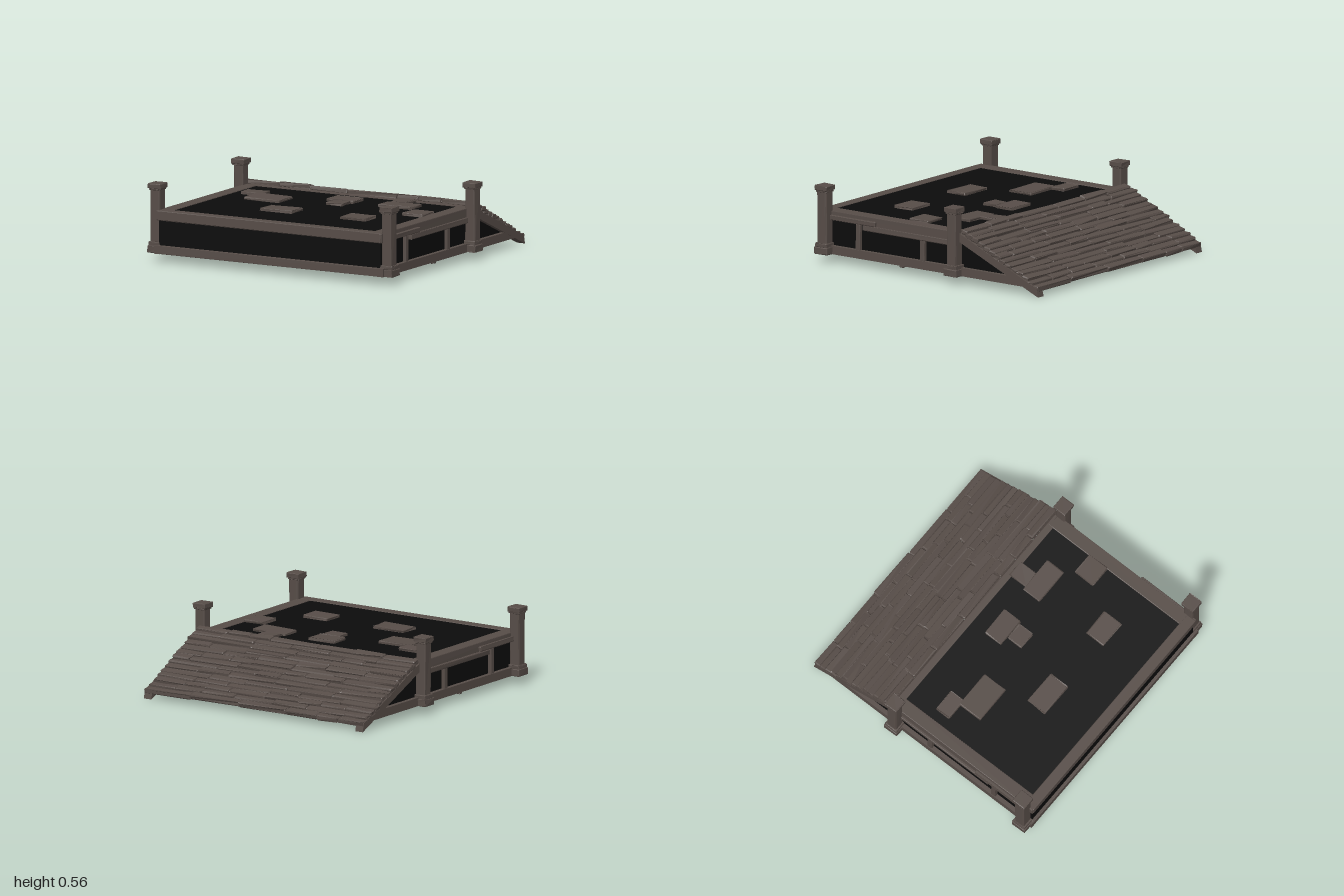
import * as THREE from 'three';
import { RoundedBoxGeometry } from 'three/addons/geometries/RoundedBoxGeometry.js';

const stone = new THREE.MeshStandardMaterial({ color: 0x574d48, flatShading: true });
stone.name = 'brownStone';
const dark = new THREE.MeshStandardMaterial({ color: 0x0c0c0c, side: THREE.DoubleSide });
dark.name = 'darkFill';

// Small seeded generator for uneven stonework
let seed = 7;
const rand = () => (seed = (seed * 16807) % 2147483647) / 2147483647;
const vary = (a) => (rand() * 2 - 1) * a;

// Chamfered block; coincident vertices are displaced together
function block(parent, name, size, pos, wobble = 0.002, bevel = 0.005) {
  const geo = new RoundedBoxGeometry(...size, 1, Math.min(bevel, Math.min(...size) * 0.3));
  const p = geo.attributes.position;
  const moved = new Map();
  for (let i = 0; i < p.count; i++) {
    const v = [p.getX(i), p.getY(i), p.getZ(i)];
    const key = v.map((n) => Math.round(n * 1e4)).join();
    if (!moved.has(key)) moved.set(key, v.map((n) => n + vary(wobble)));
    p.setXYZ(i, ...moved.get(key));
  }
  geo.computeVertexNormals();
  const mesh = new THREE.Mesh(geo, stone);
  mesh.name = name;
  mesh.position.set(...pos);
  parent.add(mesh);
  return mesh;
}

// Block given by its limits on each axis
function span(parent, name, [x0, x1], [y0, y1], [z0, z1], wobble) {
  return block(parent, name, [x1 - x0, y1 - y0, z1 - z0],
    [(x0 + x1) / 2, (y0 + y1) / 2, (z0 + z1) / 2], wobble);
}

// Side profile drawn as (z, y) points, extruded across x
function profile(parent, name, points, width, x, material) {
  const shape = new THREE.Shape(points.map(([z, y]) => new THREE.Vector2(z, y)));
  const geo = new THREE.ExtrudeGeometry(shape, { depth: width, bevelEnabled: false });
  geo.translate(0, 0, -width / 2).rotateY(-Math.PI / 2);
  const mesh = new THREE.Mesh(geo, material);
  mesh.name = name;
  mesh.position.x = x;
  parent.add(mesh);
}

function thinPanel(parent, name, size, pos) {
  const mesh = new THREE.Mesh(new THREE.BoxGeometry(...size), dark);
  mesh.name = name;
  mesh.position.set(...pos);
  parent.add(mesh);
}

function pillar(x, z) {
  const g = new THREE.Group();
  g.name = 'pillar';
  block(g, 'pillarBase', [0.106, 0.052, 0.116], [0, 0.086, 0]);
  block(g, 'pillarBaseMoulding', [0.096, 0.032, 0.102], [0, 0.124, 0]);
  block(g, 'pillarShaft', [0.08, 0.4, 0.08], [0, 0.33, 0], 0.0025, 0.01);
  block(g, 'pillarCollar', [0.09, 0.018, 0.092], [0, 0.515, 0]);
  block(g, 'pillarCap', [0.104, 0.036, 0.106], [0, 0.537, 0]);
  g.position.set(x, 0, z);
  return g;
}

export function createModel() {
  seed = 7;
  const model = new THREE.Group();
  model.name = 'stonePlatform';

  // Dark deck and front wall; the underside stays open
  thinPanel(model, 'deck', [1.72, 0.006, 1.22], [0, 0.362, 0.34]);
  thinPanel(model, 'frontWall', [1.8, 0.24, 0.006], [0, 0.21, 0.955]);

  // Frame around the deck and the front sill
  span(model, 'frontBeam', [-0.91, 0.91], [0.3, 0.37], [0.9, 0.978], 0.001);
  span(model, 'backBeam', [-0.91, 0.91], [0.3, 0.37], [-0.295, -0.24], 0.001);
  span(model, 'frontSill', [-0.91, 0.91], [0.06, 0.12], [0.92, 0.98], 0.001);

  for (const s of [-1, 1]) {
    const side = (a, b) => (s > 0 ? [a, b] : [-b, -a]);
    // Side walls, reaching back under the steps
    profile(model, 'sideWall', [[0.96, 0.09], [0.96, 0.34], [-0.27, 0.34], [-0.76, 0.1]],
      0.006, s * 0.9, dark);
    span(model, 'sideBeam', side(0.82, 0.92), [0.3, 0.37], [-0.29, 0.975], 0.001);
    span(model, 'upperSideRail', side(0.9, 0.94), [0.307, 0.342], [0.47, 0.88]);
    span(model, 'lowerSideRail', side(0.895, 0.937), [0.268, 0.306], [-0.2, 0.585]);
    profile(model, 'sideSill', [[0.98, 0.06], [0.98, 0.12], [-0.74, 0.12], [-0.87, 0.06]],
      0.05, s * 0.91, stone);
    for (const z of [0.63, 0.055])
      span(model, 'sidePost', side(0.89, 0.93), [0.058, 0.305], [z - 0.019, z + 0.019]);
    span(model, 'sillChip', side(0.9, 0.925), [0.045, 0.066], [0.222, 0.262]);

    // Sloping support under the steps
    profile(model, 'stringer', [[-0.27, 0.31], [-0.27, 0.372], [-0.972, 0.06], [-0.985, 0]],
      0.064, s * 0.905, stone);
    for (const z of [0.91, -0.245]) model.add(pillar(s * 0.945, z));
  }

  // Overlapping courses of uneven slabs sloping down to the back
  const steps = new THREE.Group();
  steps.name = 'slopingSteps';
  model.add(steps);
  const courses = 14;
  for (let i = 0; i < courses; i++) {
    const z = -0.322 - i * 0.0485, y = 0.378 - i * 0.0243;
    const end = 0.93 + vary(0.01);
    let x = -0.94 + vary(0.01);
    while (x < end) {
      let w = 0.17 + rand() * 0.25;
      if (end - x - w < 0.13) w = end - x;
      const slab = block(steps, 'stepSlab', [w - 0.003, 0.036, 0.058],
        [x + w / 2, y + vary(0.004), z + vary(0.003)], 0.004, 0.008);
      slab.rotation.set(-0.2 + vary(0.05), vary(0.006), vary(0.01));
      x += w;
    }
  }

  // Scattered paving slabs: x range, z range
  const pavers = [
    [-0.75, -0.58, -0.03, 0.085], [-0.62, -0.335, 0.075, 0.262],
    [-0.09, 0.13, -0.12, 0.025], [-0.02, 0.11, 0.03, 0.15],
    [0.33, 0.605, -0.115, 0.03], [0.355, 0.48, -0.258, -0.115],
    [0.66, 0.825, 0.088, 0.25], [-0.3, -0.04, 0.435, 0.59], [0.355, 0.56, 0.435, 0.59],
  ];
  for (const [x0, x1, z0, z1] of pavers) {
    const slab = span(model, 'pavingSlab', [x0, x1], [0.36, 0.385], [z0, z1], 0.004);
    slab.rotation.z = vary(0.015);
  }
  return model;
}
